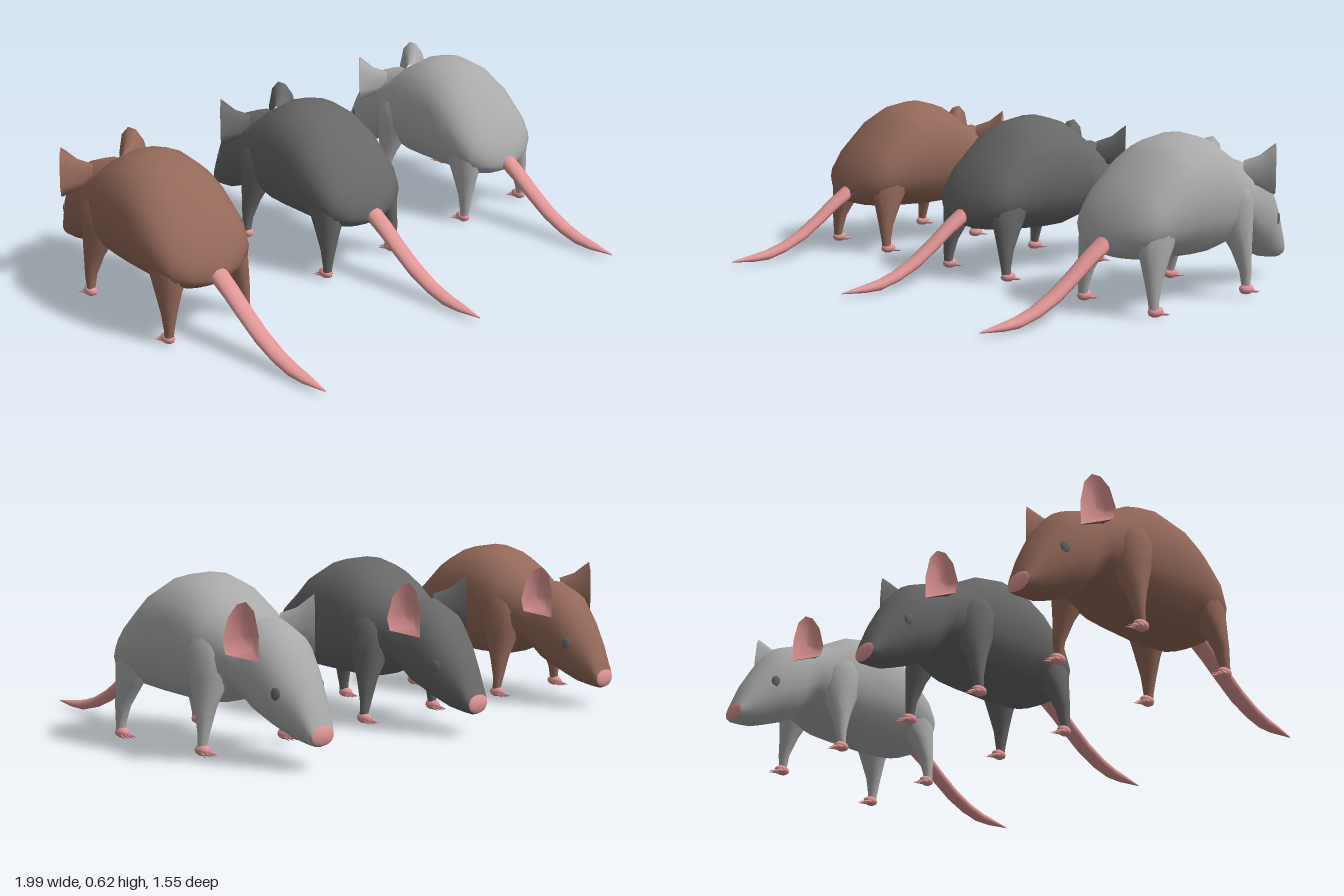
import * as THREE from 'three';

const mat = (name, color) => Object.assign(new THREE.MeshStandardMaterial({ color }), { name });

// Closed skin over rings of points; consecutive rings are joined in order.
function skin(rings) {
  const n = rings[0].length, pos = [], idx = [];
  rings.forEach(r => r.forEach(p => pos.push(...p)));
  for (let i = 0; i < rings.length - 1; i++) {
    for (let j = 0; j < n; j++) {
      const k = (j + 1) % n, a = i * n + j, b = i * n + k, c = a + n, d = b + n;
      idx.push(a, c, b, b, c, d);
    }
  }
  const g = new THREE.BufferGeometry();
  g.setAttribute('position', new THREE.Float32BufferAttribute(pos, 3));
  g.setIndex(idx);
  g.computeVertexNormals();
  return g;
}

// Rounded cross-section; power below 1 makes it squarer.
function ring(n, power, place) {
  return Array.from({ length: n }, (_, j) => {
    const t = (j / n) * Math.PI * 2;
    const bend = v => Math.sign(v) * Math.abs(v) ** power;
    return place(bend(Math.cos(t)), bend(Math.sin(t)));
  });
}

// Sections [z, top, bottom, halfWidth], listed with z falling.
const loftZ = (list, n, power = 1) => skin(list.map(([z, top, bottom, w]) =>
  ring(n, power, (c, s) => [c * w, (top + bottom) / 2 + s * (top - bottom) / 2, z])));

// Sections [x, y, z, radiusX, radiusZ], listed with y falling.
const loftY = (list, n) => skin(list.map(([x, y, z, rx, rz]) =>
  ring(n, 1, (c, s) => [x + c * rx, y, z - s * rz])));

function mirrored(geo) {
  const g = geo.clone().scale(-1, 1, 1);
  const ix = g.index.array;
  for (let i = 0; i < ix.length; i += 3) [ix[i + 1], ix[i + 2]] = [ix[i + 2], ix[i + 1]];
  g.computeVertexNormals();
  return g;
}

const bodyGeo = loftZ([
  [0.2, 0.25, 0.25, 0], [0.2, 0.28, 0.23, 0.04], [0.185, 0.33, 0.215, 0.115],
  [0.15, 0.395, 0.198, 0.178], [0.1, 0.46, 0.185, 0.203], [0, 0.56, 0.172, 0.216],
  [-0.08, 0.604, 0.168, 0.218], [-0.19, 0.622, 0.163, 0.214], [-0.28, 0.6, 0.165, 0.207],
  [-0.36, 0.55, 0.185, 0.197], [-0.45, 0.482, 0.225, 0.155], [-0.51, 0.49, 0.16, 0.138],
  [-0.6, 0.45, 0.12, 0.13], [-0.66, 0.375, 0.095, 0.105], [-0.72, 0.275, 0.083, 0.073],
  [-0.755, 0.19, 0.08, 0.058], [-0.768, 0.155, 0.086, 0.05],
], 20, 0.92);

const noseGeo = loftZ([
  [-0.768, 0.155, 0.086, 0.05], [-0.776, 0.143, 0.096, 0.036], [-0.777, 0.12, 0.12, 0],
], 20, 0.92);

const tailGeo = loftZ([
  [0.772, 0.024, 0.02, 0.002], [0.67, 0.038, 0.01, 0.023], [0.6, 0.05, 0.01, 0.029],
  [0.52, 0.074, 0.03, 0.032], [0.43, 0.118, 0.068, 0.034], [0.34, 0.178, 0.125, 0.035],
  [0.26, 0.238, 0.18, 0.037], [0.18, 0.29, 0.225, 0.038],
], 10);

const hindLegGeo = loftY([
  [0.12, 0.46, 0.03, 0, 0], [0.13, 0.4, 0.035, 0.055, 0.05], [0.132, 0.34, 0.05, 0.066, 0.08],
  [0.137, 0.27, 0.073, 0.064, 0.088], [0.155, 0.2, 0.092, 0.045, 0.058],
  [0.169, 0.12, 0.112, 0.029, 0.031], [0.176, 0.055, 0.117, 0.019, 0.02],
  [0.178, 0.03, 0.117, 0.018, 0.018],
], 14);

const frontLegGeo = loftY([
  [0.11, 0.5, -0.33, 0, 0], [0.12, 0.44, -0.335, 0.066, 0.065], [0.128, 0.37, -0.345, 0.085, 0.085],
  [0.14, 0.28, -0.35, 0.068, 0.075], [0.168, 0.18, -0.362, 0.04, 0.038],
  [0.183, 0.1, -0.37, 0.024, 0.021], [0.189, 0.05, -0.367, 0.017, 0.016],
  [0.19, 0.035, -0.366, 0.016, 0.016],
], 14);

// Ear rim in its own plane: [across, height]; the plane faces outward and forward.
const rim = [
  [-0.056, 0.36], [-0.057, 0.45], [-0.042, 0.53], [-0.015, 0.562],
  [0.015, 0.553], [0.045, 0.51], [0.065, 0.43], [0.055, 0.385],
];
const earRing = (scale, depth) => rim.map(([u, y]) => [
  0.165 + 0.66 * u * scale - 0.75 * depth, 0.44 + (y - 0.44) * scale, -0.552 + 0.75 * u * scale + 0.66 * depth,
]);
const earInnerGeo = skin([earRing(0, 0.022), earRing(0.55, 0.018), earRing(1, 0)]);
const earBackGeo = skin([earRing(1, 0), earRing(0.88, 0.02), earRing(0.62, 0.06), earRing(0.45, 0.12)]);

const eyeGeo = new THREE.SphereGeometry(1, 12, 8)
  .scale(0.006, 0.023, 0.017).rotateY(0.5).translate(0.106, 0.258, -0.652);

const pawGeo = new THREE.SphereGeometry(1, 10, 6).scale(0.024, 0.02, 0.034);
const toeGeo = new THREE.ConeGeometry(0.009, 0.056, 6).rotateX(-Math.PI / 2 - 0.2);

// Small foot with four spread toes pointing forward.
function makeFoot(name, pink, x, y, z) {
  const foot = new THREE.Group();
  foot.name = name;
  foot.position.set(x, y, z);
  const paw = new THREE.Mesh(pawGeo, pink);
  paw.name = 'paw';
  foot.add(paw);
  for (let i = 0; i < 4; i++) {
    const toe = new THREE.Mesh(toeGeo, pink);
    toe.name = 'toe';
    const f = i - 1.5;
    toe.position.set(f * 0.012, -0.01, -0.034 + Math.abs(f) * 0.005);
    toe.rotation.y = -f * 0.18;
    foot.add(toe);
  }
  return foot;
}

function makeRat(name, x, fur, pink, dark) {
  const rat = new THREE.Group();
  rat.name = name;
  rat.position.x = x;
  const add = (part, geo, m) => {
    const mesh = new THREE.Mesh(geo, m);
    mesh.name = part;
    rat.add(mesh);
  };
  add('bodyAndHead', bodyGeo, fur);
  add('nose', noseGeo, pink);
  add('tail', tailGeo, pink);

  // Paired parts on both sides
  for (const [side, s] of [['left', 1], ['right', -1]]) {
    const flip = g => (s > 0 ? g : mirrored(g));
    add(side + 'HindLeg', flip(hindLegGeo), fur);
    add(side + 'FrontLeg', flip(frontLegGeo), fur);
    add(side + 'EarInner', flip(earInnerGeo), pink);
    add(side + 'EarBack', flip(earBackGeo), fur);
    add(side + 'Eye', flip(eyeGeo), dark);
    rat.add(makeFoot(side + 'HindFoot', pink, s * 0.178, 0.022, 0.108));
    rat.add(makeFoot(side + 'FrontFoot', pink, s * 0.19, 0.036, -0.37));
  }
  return rat;
}

export function createModel() {
  const model = new THREE.Group();
  model.name = 'threeRats';
  const pink = mat('pinkSkin', 0xe09696);
  const dark = mat('eyeGrey', 0x666666);
  model.add(
    makeRat('brownRat', -0.78, mat('brownFur', 0x94695a), pink, dark),
    makeRat('darkRat', -0.008, mat('darkGreyFur', 0x686868), pink, dark),
    makeRat('greyRat', 0.775, mat('lightGreyFur', 0xaaaaaa), pink, dark),
  );
  return model;
}
